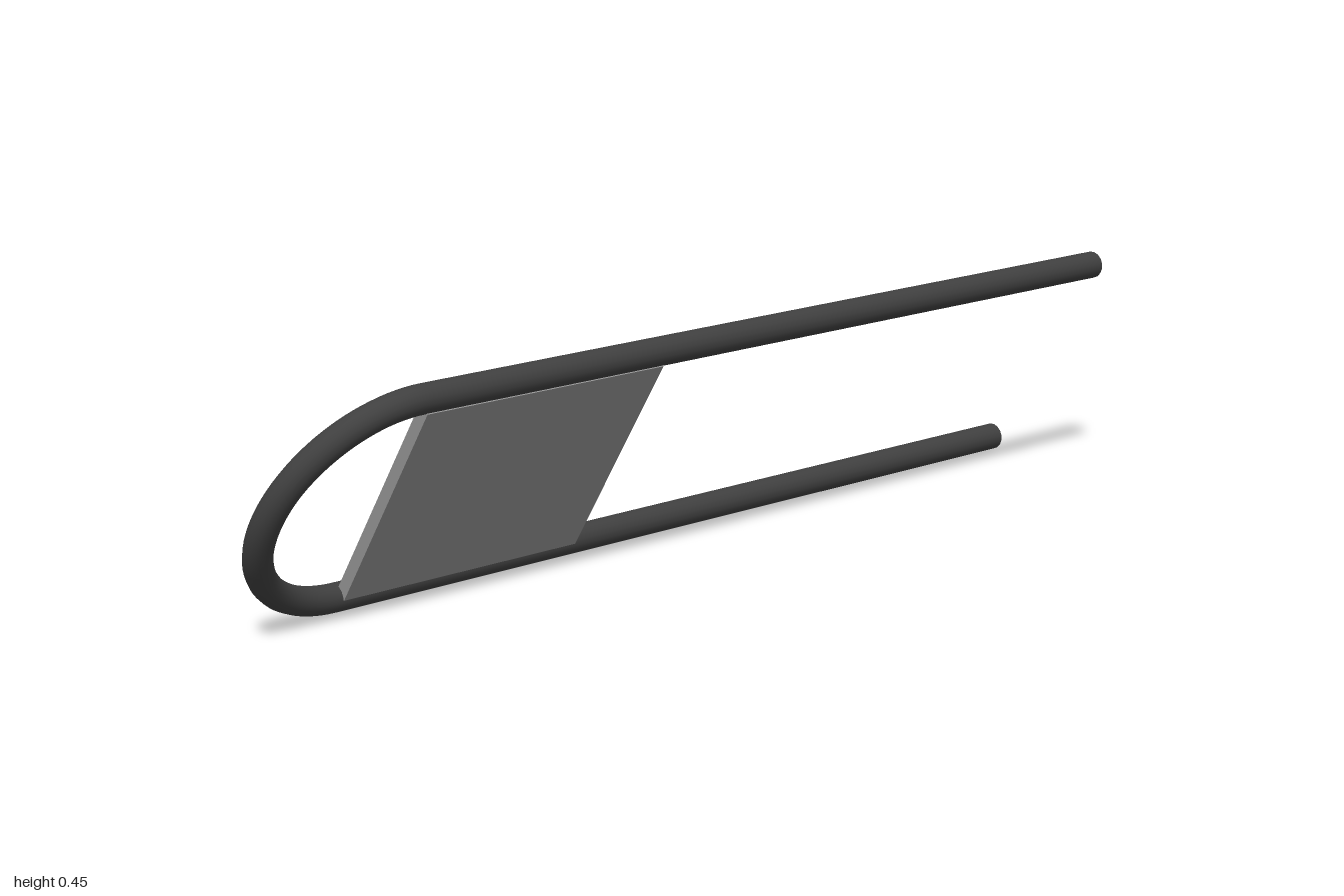
import * as THREE from 'three';

export function createModel() {
  const darkRod = new THREE.MeshStandardMaterial({ color: 0x404040 });
  const greyPanel = new THREE.MeshStandardMaterial({ color: 0x949494 });
  const paleFace = new THREE.MeshStandardMaterial({ color: 0xd2d2d7 });

  const r = 0.0265;       // rod radius
  const half = 0.2375;    // half the distance between the legs
  const bendZ = 0.735;    // where the legs meet the bend

  const model = new THREE.Group();
  model.name = 'clipFrame';

  // Everything is built flat in local x/z, then tilted about the z axis
  const frame = new THREE.Group();
  frame.name = 'tiltedFrame';
  frame.position.y = 0.2265;
  frame.rotation.z = Math.atan2(0.4, 0.256);
  model.add(frame);

  const add = (name, geometry, material) => {
    const mesh = new THREE.Mesh(geometry, material);
    mesh.name = name;
    frame.add(mesh);
    return mesh;
  };

  // Straight legs with flat free ends
  const leg = new THREE.CylinderGeometry(r, r, bendZ + 1, 16);
  leg.rotateX(Math.PI / 2);
  leg.translate(0, 0, (bendZ - 1) / 2);
  add('upperLeg', leg, darkRod).position.x = half;
  add('lowerLeg', leg, darkRod).position.x = -half;

  // Half-round bend joining the legs
  const bend = new THREE.TorusGeometry(half, r, 16, 48, Math.PI);
  bend.rotateX(Math.PI / 2);
  bend.translate(0, 0, bendZ);
  add('roundBend', bend, darkRod);

  // Panel between the legs, set towards the underside of the rods; its upper face is pale
  const sides = [greyPanel, greyPanel, paleFace, greyPanel, greyPanel, greyPanel];
  const panel = add('panel', new THREE.BoxGeometry(0.445, 0.025, 0.54), sides);
  panel.position.set(0, -0.011, 0.465);

  return model;
}
